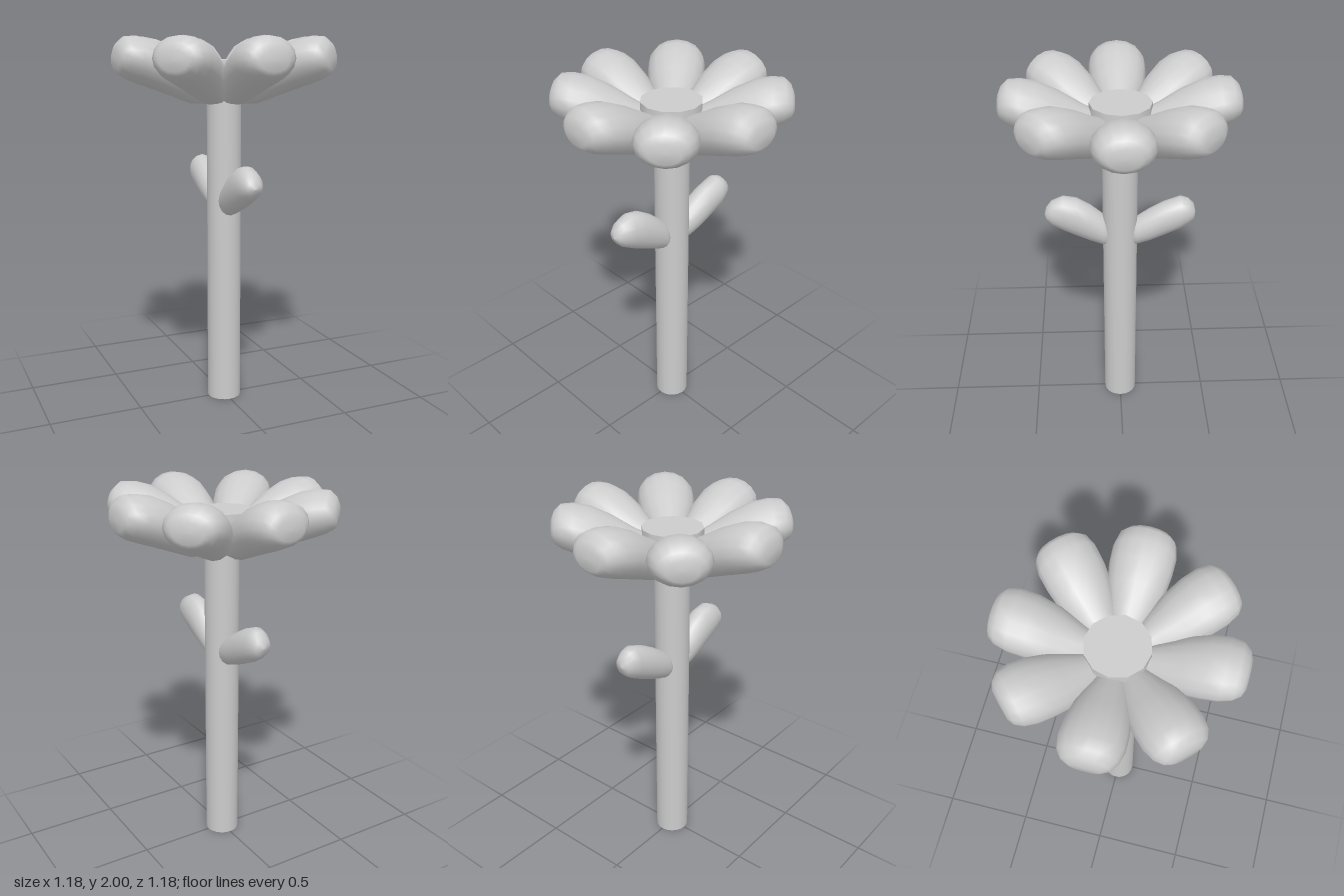
import * as THREE from 'three';

const material = new THREE.MeshStandardMaterial({ color: 0xcccccc });

// Smooth body along +x from oval sections: [x, bottom, top, half width]
function loft(sections, sides = 16) {
  const positions = [];
  const index = [];
  sections.forEach(([x, bottom, top, w], i) => {
    for (let j = 0; j < sides; j++) {
      const t = (j / sides) * Math.PI * 2;
      positions.push(x, (bottom + top) / 2 + Math.sin(t) * (top - bottom) / 2, Math.cos(t) * w);
      if (i === sections.length - 1) continue;
      const k = (j + 1) % sides;
      const a = i * sides + j, b = a + sides;
      const c = i * sides + k, d = c + sides;
      index.push(a, b, c, b, d, c);
    }
  });
  const geometry = new THREE.BufferGeometry();
  geometry.setAttribute('position', new THREE.Float32BufferAttribute(positions, 3));
  geometry.setIndex(index);
  geometry.computeVertexNormals();
  return geometry;
}

const petalSections = [
  [0.02, 1.72, 1.72, 0],
  [0.03, 1.655, 1.79, 0.045],
  [0.1, 1.655, 1.83, 0.07],
  [0.19, 1.657, 1.875, 0.103],
  [0.3, 1.698, 1.94, 0.135],
  [0.4, 1.735, 1.985, 0.15],
  [0.48, 1.763, 2, 0.152],
  [0.54, 1.787, 1.997, 0.138],
  [0.575, 1.81, 1.965, 0.11],
  [0.59, 1.83, 1.93, 0.075],
  [0.592, 1.88, 1.88, 0],
];

const frontLeafSections = [
  [0.04, 1.12, 1.12, 0],
  [0.05, 1.06, 1.2, 0.055],
  [0.09, 1.06, 1.24, 0.068],
  [0.16, 1.088, 1.3, 0.075],
  [0.23, 1.12, 1.343, 0.075],
  [0.3, 1.155, 1.355, 0.072],
  [0.36, 1.19, 1.328, 0.06],
  [0.39, 1.222, 1.29, 0.04],
  [0.4, 1.25, 1.25, 0],
];

const backLeafSections = [
  [0.04, 1.12, 1.12, 0],
  [0.05, 1.06, 1.19, 0.055],
  [0.09, 1.06, 1.22, 0.068],
  [0.16, 1.083, 1.268, 0.075],
  [0.23, 1.113, 1.308, 0.075],
  [0.32, 1.155, 1.342, 0.072],
  [0.36, 1.18, 1.33, 0.06],
  [0.39, 1.208, 1.3, 0.045],
  [0.402, 1.25, 1.25, 0],
];

export function createModel() {
  const model = new THREE.Group();
  model.name = 'flower';

  const add = (name, geometry, parent = model) => {
    const mesh = new THREE.Mesh(geometry, material);
    mesh.name = name;
    parent.add(mesh);
    return mesh;
  };

  // Straight stem running up into the bloom
  const stem = add('stem', new THREE.CylinderGeometry(0.092, 0.092, 1.72, 20));
  stem.position.y = 0.86;

  // Ring of eight upturned petals, the diagonal ones turned very slightly
  const petals = new THREE.Group();
  petals.name = 'petals';
  model.add(petals);
  const petalGeometry = loft(petalSections);
  for (let i = 0; i < 8; i++) {
    const petal = add('petal', petalGeometry, petals);
    petal.rotation.y = -(i * Math.PI / 4 + (i % 2) * 0.025);
  }

  // Flat faceted disc in the middle of the bloom
  const disc = add('flowerCentre', new THREE.CylinderGeometry(0.157, 0.162, 0.14, 12));
  disc.position.set(-0.007, 1.81, -0.004);

  // One leaf to the front and one to the back
  add('frontLeaf', loft(frontLeafSections)).rotation.y = -Math.PI / 2;
  add('backLeaf', loft(backLeafSections)).rotation.y = Math.PI / 2;

  return model;
}
